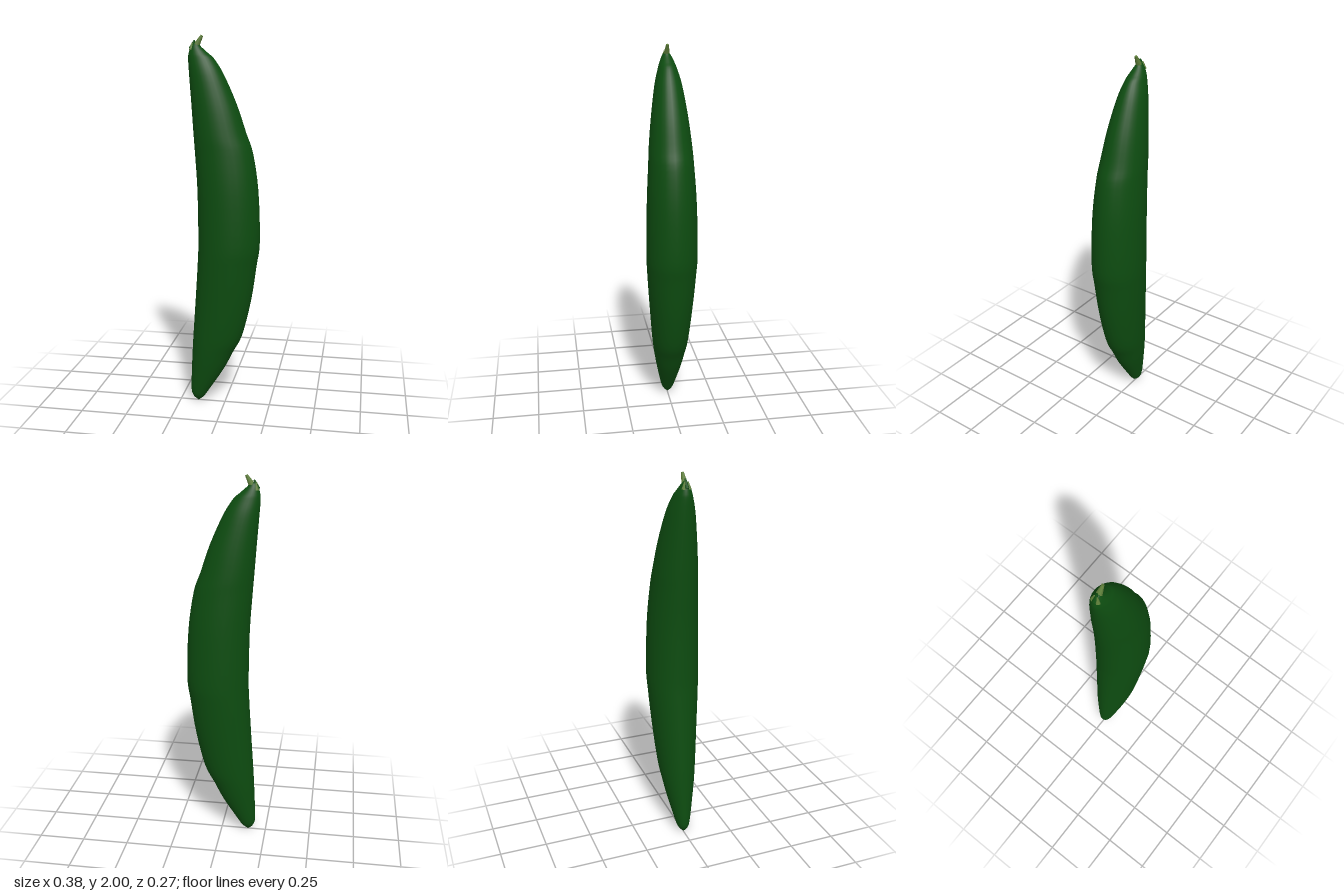
import * as THREE from 'three';

// Fruit stations: [height, inner edge x, outer edge x, half depth]
const STATIONS = [
  [0.01, -0.165, -0.135, 0.008], [0.03, -0.18, -0.115, 0.026], [0.07, -0.19, -0.088, 0.04],
  [0.2, -0.186, -0.005, 0.068], [0.3, -0.181, 0.045, 0.086], [0.4, -0.175, 0.095, 0.1],
  [0.6, -0.161, 0.143, 0.117], [0.8, -0.148, 0.172, 0.131], [0.93, -0.143, 0.188, 0.136],
  [1.2, -0.146, 0.178, 0.13], [1.4, -0.158, 0.148, 0.118], [1.5, -0.165, 0.113, 0.111],
  [1.65, -0.175, 0.062, 0.094], [1.8, -0.186, -0.005, 0.07], [1.88, -0.191, -0.055, 0.048],
  [1.91, -0.188, -0.088, 0.037], [1.94, -0.179, -0.122, 0.023], [1.96, -0.168, -0.138, 0.01],
];

// Lofts elliptical rings through the stations, closed with a point at each end
function fruitGeometry(sides = 28, rings = 68) {
  const inner = new THREE.CatmullRomCurve3(STATIONS.map(([y, a, , d]) => new THREE.Vector3(a, y, d)), false, 'catmullrom');
  const outer = new THREE.CatmullRomCurve3(STATIONS.map(([y, , b, d]) => new THREE.Vector3(b, y, d)), false, 'catmullrom');
  const pos = [], index = [];
  for (let i = 0; i <= rings; i++) {
    const a = inner.getPoint(i / rings), b = outer.getPoint(i / rings);
    for (let j = 0; j < sides; j++) {
      const t = (j / sides) * Math.PI * 2;
      pos.push((a.x + b.x) / 2 + Math.cos(t) * (b.x - a.x) / 2, a.y, Math.sin(t) * a.z);
    }
  }
  for (let i = 0; i < rings; i++) {
    for (let j = 0; j < sides; j++) {
      const k = (j + 1) % sides, p = i * sides, q = p + sides;
      index.push(p + j, q + j, p + k, p + k, q + j, q + k);
    }
  }
  const bottom = pos.length / 3, top = bottom + 1, last = rings * sides;
  pos.push(-0.15, 0, 0, -0.153, 1.965, 0);
  for (let j = 0; j < sides; j++) {
    const k = (j + 1) % sides;
    index.push(bottom, j, k, top, last + k, last + j);
  }
  const g = new THREE.BufferGeometry();
  g.setAttribute('position', new THREE.Float32BufferAttribute(pos, 3));
  g.setIndex(index);
  g.computeVertexNormals();
  return g;
}

// Tapered piece between two points
function taper(name, from, to, r0, r1, material) {
  const a = new THREE.Vector3(...from), b = new THREE.Vector3(...to);
  const dir = b.clone().sub(a);
  const mesh = new THREE.Mesh(new THREE.CylinderGeometry(r1, r0, dir.length(), 8), material);
  mesh.name = name;
  mesh.position.copy(a).add(b).multiplyScalar(0.5);
  mesh.quaternion.setFromUnitVectors(new THREE.Vector3(0, 1, 0), dir.normalize());
  return mesh;
}

export function createModel() {
  const skin = new THREE.MeshStandardMaterial({ name: 'dark green skin', color: 0x0d4c10 });
  const stalk = new THREE.MeshStandardMaterial({ name: 'pale green stalk', color: 0x5c7d38 });
  const model = new THREE.Group();
  model.name = 'cucumber';

  const fruit = new THREE.Mesh(fruitGeometry(), skin);
  fruit.name = 'fruit';
  model.add(fruit);

  // Bent stalk and the small ragged crown at its foot
  model.add(taper('stem', [-0.155, 1.935, 0], [-0.119, 1.997, 0], 0.019, 0.007, stalk));
  model.add(taper('crownTip', [-0.175, 1.93, 0], [-0.158, 1.974, 0], 0.014, 0.004, skin));
  for (const s of [-1, 1]) {
    model.add(taper('crownLeaf', [-0.172, 1.925, s * 0.014], [-0.168, 1.962, s * 0.008], 0.012, 0.003, stalk));
  }
  return model;
}
